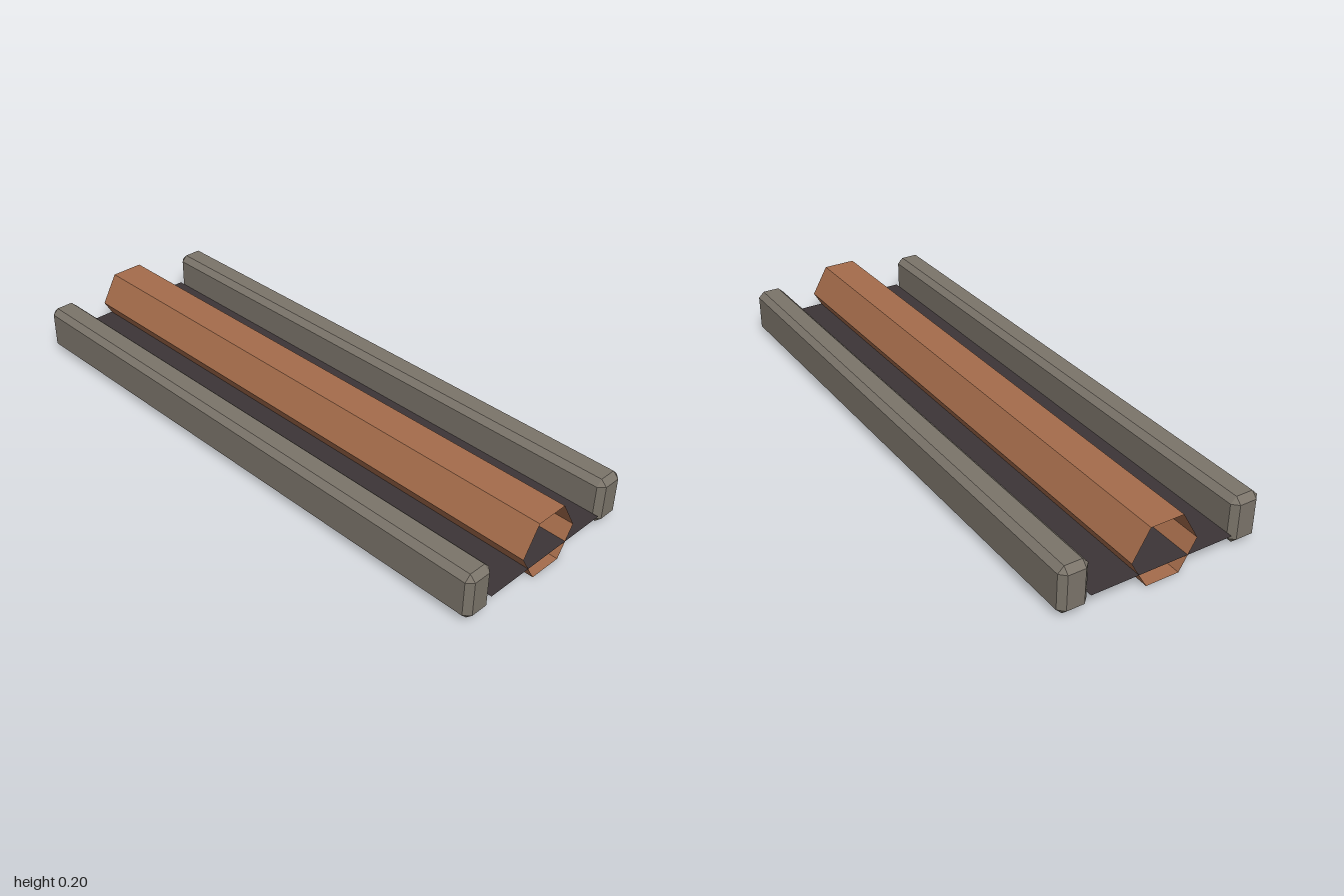
import * as THREE from 'three';

const mat = (name, color) => {
  const m = new THREE.MeshStandardMaterial({ color, side: THREE.DoubleSide, flatShading: true });
  m.name = name;
  return m;
};

// Hollow chamfered beam: octagonal plan, bevelled top, open underside with a small prong at each corner
function railGeometry() {
  const hx = 0.05, hz = 1, c = 0.02;
  const yTip = 0.01, yLow = 0.03, yHigh = 0.15, yTop = 0.17;
  const corners = [[1, 1], [1, -1], [-1, -1], [-1, 1]];
  const plan = [], inner = [];
  for (const [sx, sz] of corners) {
    const end = [sx * (hx - c), sz * hz], side = [sx * hx, sz * (hz - c)];
    plan.push(...(sx * sz > 0 ? [end, side] : [side, end]));
    inner.push([sx * (hx - c), sz * (hz - c)]);
  }
  const pos = [];
  const at = ([x, z], y) => [x, y, z];
  const tri = (p, q, r) => pos.push(...p, ...q, ...r);
  const quad = (p, q, r, s) => { tri(p, q, r); tri(p, r, s); };

  for (let i = 0; i < 8; i++) {
    const a = plan[i], b = plan[(i + 1) % 8];
    quad(at(a, yLow), at(b, yLow), at(b, yHigh), at(a, yHigh)); // wall
    const k = inner[i >> 1];
    if (i % 2 === 0) {
      tri(at(a, yHigh), at(b, yHigh), at(k, yTop)); // top corner
      tri(at(b, yLow), at(a, yLow), at(k, yTip)); // prong
    } else {
      const n = inner[((i >> 1) + 1) % 4];
      quad(at(a, yHigh), at(b, yHigh), at(n, yTop), at(k, yTop)); // top bevel
    }
  }
  quad(...inner.map((p) => at(p, yTop)));

  const g = new THREE.BufferGeometry();
  g.setAttribute('position', new THREE.Float32BufferAttribute(pos, 3));
  g.computeVertexNormals();
  return g;
}

export function createModel() {
  const group = new THREE.Group();
  const stone = mat('grey stone', 0x7b746a);
  const copper = mat('copper brown', 0xa56c4b);
  const dark = mat('dark floor', 0x3c3537);
  const add = (name, geometry, material, x, y) => {
    const mesh = new THREE.Mesh(geometry, material);
    mesh.name = name;
    mesh.position.set(x, y, 0);
    group.add(mesh);
  };

  // Side rails
  const rail = railGeometry();
  add('leftRail', rail, stone, 0.3, 0);
  add('rightRail', rail, stone, -0.3, 0);

  // Flat floor between the rails
  add('floor', new THREE.PlaneGeometry(0.5, 2).rotateX(-Math.PI / 2), dark, 0, 0.05);

  // Open hexagonal pipe along the middle
  const r = 0.1 / Math.cos(Math.PI / 6);
  const pipe = new THREE.CylinderGeometry(r, r, 2, 6, 1, true, Math.PI / 2).rotateX(Math.PI / 2);
  add('pipe', pipe, copper, 0, 0.1);

  return group;
}
